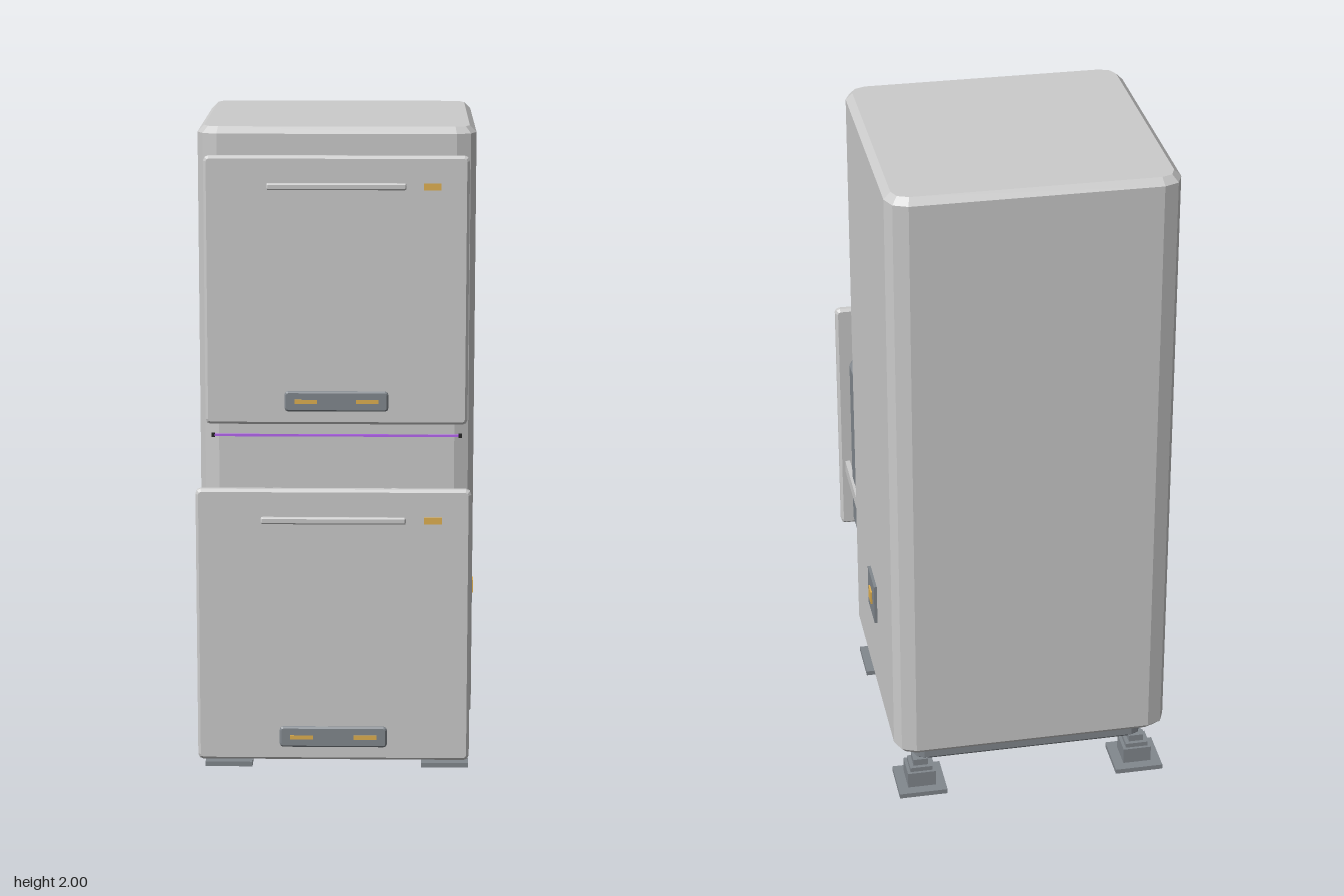
import * as THREE from 'three';

const mat = (color) => new THREE.MeshStandardMaterial({ color });
const GREY = mat(0xcccccc);
const DARK = mat(0x82888e);
const GOLD = mat(0xe0b050);
const PURPLE = mat(0xb565f0);
const BLACK = mat(0x222222);

function add(parent, name, geometry, material, x = 0, y = 0, z = 0) {
  const mesh = new THREE.Mesh(geometry, material);
  mesh.name = name;
  mesh.position.set(x, y, z);
  parent.add(mesh);
  return mesh;
}

const box = (w, h, d) => new THREE.BoxGeometry(w, h, d);

// Slab with faceted round corners in XY and chamfered rims, centred on the origin
function slab(w, h, depth, r, bevel) {
  const x = w / 2, y = h / 2, s = new THREE.Shape();
  s.absarc(x - r, y - r, r, 0, Math.PI / 2);
  s.absarc(-x + r, y - r, r, Math.PI / 2, Math.PI);
  s.absarc(-x + r, -y + r, r, Math.PI, Math.PI * 1.5);
  s.absarc(x - r, -y + r, r, Math.PI * 1.5, Math.PI * 2);
  const g = new THREE.ExtrudeGeometry(s, {
    depth: depth - 2 * bevel, curveSegments: 1, bevelEnabled: true,
    bevelSegments: 1, bevelSize: bevel, bevelThickness: bevel, bevelOffset: -bevel,
  });
  return g.translate(0, 0, bevel - depth / 2);
}

// The same slab standing upright: rounded footprint, chamfered top and bottom
const block = (w, h, d, r, bevel) => slab(w, d, h, r, bevel).rotateX(-Math.PI / 2);

// Front panel with bar, indicator and handle; z = 0 is its back
function makeFront(name) {
  const g = new THREE.Group();
  g.name = name;
  add(g, 'panel', slab(0.794, 0.815, 0.03, 0.015, 0.008), GREY, 0, 0, 0.015);
  add(g, 'trimBar', slab(0.418, 0.02, 0.018, 0.005, 0.004), GREY, 0, 0.317, 0.033);
  add(g, 'indicator', box(0.052, 0.02, 0.008), GOLD, 0.287, 0.317, 0.032);
  add(g, 'handle', slab(0.314, 0.062, 0.018, 0.01, 0.005), DARK, 0, -0.335, 0.03);
  for (const side of [-1, 1])
    add(g, 'handleStrip', box(0.068, 0.012, 0.006), GOLD, side * 0.093, -0.335, 0.039);
  return g;
}

function makeFoot() {
  const g = new THREE.Group();
  g.name = 'foot';
  add(g, 'pad', box(0.147, 0.015, 0.147), DARK, 0, 0.0075, 0);
  add(g, 'block', box(0.086, 0.05, 0.086), DARK, 0, 0.04, 0);
  add(g, 'collar', box(0.068, 0.014, 0.068), DARK, 0, 0.072, 0);
  add(g, 'stem', box(0.045, 0.03, 0.045), DARK, 0, 0.085, 0);
  return g;
}

export function createModel() {
  const model = new THREE.Group();
  model.name = 'drawerCabinet';
  // Cabinet frame: origin in the middle of the body footprint
  const cabinet = new THREE.Group();
  cabinet.name = 'cabinet';
  cabinet.position.set(-0.007, 0, -0.26);
  model.add(cabinet);

  add(cabinet, 'body', block(0.836, 1.845, 0.836, 0.06, 0.02), GREY, 0, 1.0775, 0);
  add(cabinet, 'plinth', block(0.708, 0.055, 0.708, 0.03, 0.012), DARK, 0, 0.1175, 0);
  add(cabinet, 'plinthJoint', box(0.66, 0.03, 0.66), DARK, 0, 0.15, 0);

  for (const x of [-1, 1]) for (const z of [-1, 1]) {
    const foot = makeFoot();
    foot.position.set(x * 0.337, 0, z * 0.337);
    cabinet.add(foot);
  }

  // Closed upper front
  const upper = makeFront('upperFront');
  upper.position.set(0, 1.51, 0.42);
  cabinet.add(upper);

  // Light line between the fronts
  add(cabinet, 'lightLine', box(0.744, 0.007, 0.01), PURPLE, 0, 1.063, 0.418);
  for (const side of [-1, 1])
    add(cabinet, 'lightLineEnd', box(0.01, 0.011, 0.012), BLACK, side * 0.376, 1.063, 0.418);

  // Pulled-out lower drawer with bin, ring and rails
  const drawer = new THREE.Group();
  drawer.name = 'lowerDrawer';
  cabinet.add(drawer);
  const lower = makeFront('lowerFront');
  lower.position.set(0, 0.605, 0.895);
  drawer.add(lower);
  add(drawer, 'bin', block(0.74, 0.62, 0.6, 0.1, 0.022), DARK, 0, 0.575, 0.59);
  const ring = new THREE.TorusGeometry(0.253, 0.013, 6, 28).rotateX(Math.PI / 2);
  add(drawer, 'binRing', ring, GREY, 0, 0.888, 0.595);
  for (const side of [-1, 1])
    add(drawer, 'rail', box(0.016, 0.04, 0.52), GREY, side * 0.371, 0.423, 0.64);

  // Switch on the left side
  add(cabinet, 'switchPlate', box(0.014, 0.13, 0.125), DARK, 0.42, 0.48, 0);
  add(cabinet, 'switchButton', box(0.012, 0.042, 0.042), GOLD, 0.426, 0.48, 0);

  return model;
}
